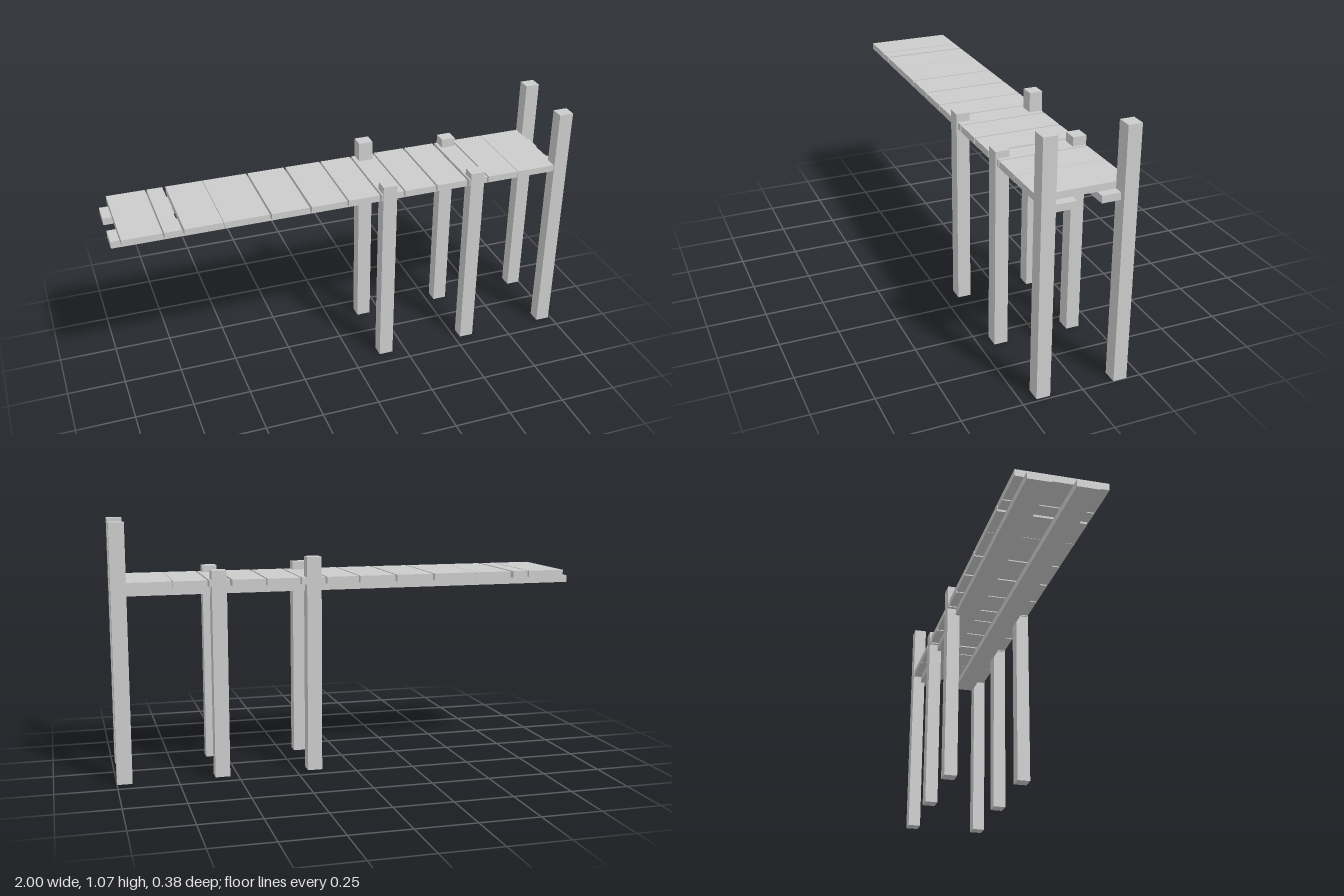
import * as THREE from 'three';

const material = new THREE.MeshStandardMaterial({ color: 0xcccccc, flatShading: true });

// Box given by its limits on each axis
function block(name, [x0, x1], [y0, y1], [z0, z1]) {
  const mesh = new THREE.Mesh(new THREE.BoxGeometry(x1 - x0, y1 - y0, z1 - z0), material);
  mesh.position.set((x0 + x1) / 2, (y0 + y1) / 2, (z0 + z1) / 2);
  mesh.name = name;
  return mesh;
}

export function createModel() {
  const model = new THREE.Group();
  model.name = 'jetty';

  // Deck planks of uneven width, laid across the beams
  const deck = new THREE.Group();
  deck.name = 'deck';
  const planks = [
    [-0.963, -0.8], [-0.794, -0.727], [-0.714, -0.555], [-0.553, -0.363], [-0.355, -0.194],
    [-0.185, -0.031], [-0.024, 0.112], [0.12, 0.22], [0.227, 0.365], [0.373, 0.51],
    [0.521, 0.605], [0.612, 0.751], [0.753, 0.938],
  ];
  for (const span of planks) deck.add(block('plank', span, [0.798, 0.827], [-0.188, 0.185]));
  model.add(deck);

  // Two long beams under the deck
  model.add(block('frontBeam', [-1, 0.975], [0.768, 0.798], [0.042, 0.135]));
  model.add(block('backBeam', [-1, 0.975], [0.768, 0.798], [-0.152, -0.056]));

  // Posts in pairs: left edge and height of the front and back one
  const pairs = [
    [0.126, 0.862, 0.137, 0.912],
    [0.527, 0.855, 0.534, 0.866],
    [0.926, 1.067, 0.937, 1.067],
  ];
  for (const [frontX, frontTop, backX, backTop] of pairs) {
    model.add(block('frontPost', [frontX, frontX + 0.062], [0, frontTop], [0.133, 0.19]));
    model.add(block('backPost', [backX, backX + 0.062], [0, backTop], [-0.19, -0.133]));
  }
  return model;
}
